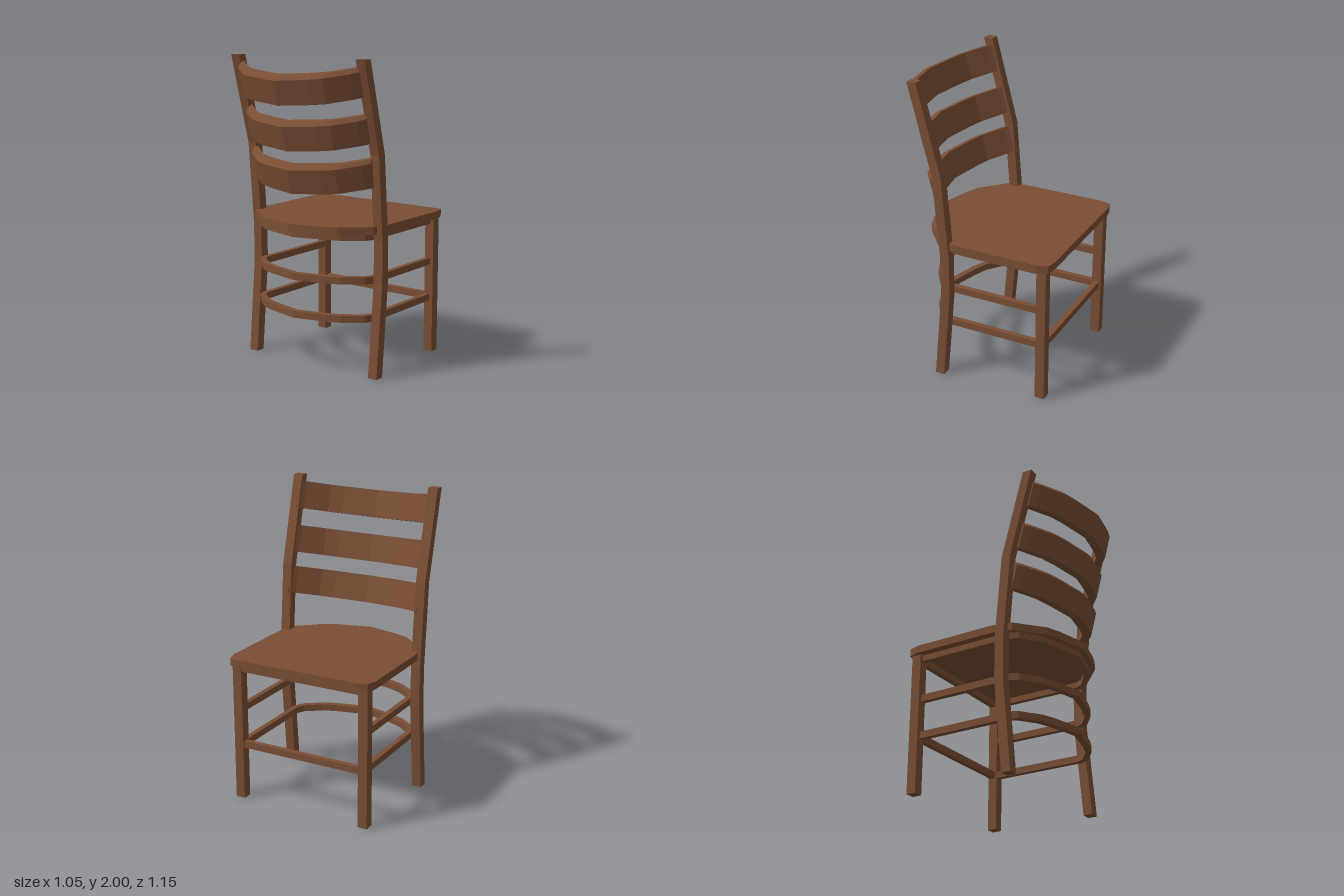
import * as THREE from 'three';

const wood = new THREE.MeshStandardMaterial({ color: 0x7a4e34 });
wood.name = 'brown wood';

// Extrude a plan outline of [x, z] points upward from y0 to y1
function slab(points, y0, y1) {
  const shape = new THREE.Shape(points.map(([x, z]) => new THREE.Vector2(x, -z)));
  const g = new THREE.ExtrudeGeometry(shape, { depth: y1 - y0, bevelEnabled: false });
  return g.rotateX(-Math.PI / 2).translate(0, y0, 0);
}

// Extrude a side outline of [z, y] points across from x0 to x1
function profile(points, x0, x1) {
  const shape = new THREE.Shape(points.map(([z, y]) => new THREE.Vector2(-z, y)));
  const g = new THREE.ExtrudeGeometry(shape, { depth: x1 - x0, bevelEnabled: false });
  return g.rotateY(Math.PI / 2).translate(x0, 0, 0);
}

function box(x, y, z, w, h, d) {
  return new THREE.BoxGeometry(w, h, d).translate(x, y, z);
}

// Complete a right-to-left outline by mirroring its +x half; last point lies on x = 0
function mirrored(half) {
  return [...half, ...half.slice(0, -1).reverse().map(([x, z]) => [-x, z])];
}

// Curved, chamfered back slat leaning with the posts
function slat(z, y) {
  const half = [[0.475, 0.225], [0.44, 0.185], [0.31, 0.083], [0.22, 0.05], [0, 0]];
  const path = mirrored(half).reverse();
  const section = [[-0.04, 0], [0, 0], [0.03, -0.022], [0.03, -0.18], [-0.04, -0.18]];
  const n = section.length, c = Math.cos(0.262), s = Math.sin(0.262);
  const pos = [], idx = [];
  for (const [x, back] of path) {
    for (const [u, v] of section) {
      const w = u - back;
      pos.push(x, y - w * s + v * c, z + w * c + v * s);
    }
  }
  for (let i = 0; i < path.length - 1; i++) {
    for (let j = 0; j < n; j++) {
      const a = i * n + j, b = i * n + (j + 1) % n;
      idx.push(a, b, b + n, a, b + n, a + n);
    }
  }
  const e = (path.length - 1) * n;
  for (let j = 1; j < n - 1; j++) idx.push(0, j + 1, j, e, e + j, e + j + 1);
  const g = new THREE.BufferGeometry();
  g.setAttribute('position', new THREE.Float32BufferAttribute(pos, 3));
  g.setIndex(idx);
  const flat = g.toNonIndexed();
  flat.computeVertexNormals();
  return flat;
}

export function createModel() {
  const group = new THREE.Group();
  const add = (name, geometry) => {
    const mesh = new THREE.Mesh(geometry, wood);
    mesh.name = name;
    group.add(mesh);
  };

  // Seat with clipped front corners and a bowed back edge
  add('seat', slab(mirrored([
    [0, -0.575], [0.43, -0.575], [0.49, -0.56], [0.51, -0.49], [0.51, 0.08],
    [0.48, 0.2], [0.31, 0.35], [0.22, 0.385], [0, 0.44],
  ]).slice(0, -1), 0.92, 0.97));

  // Bent back posts and straight front legs
  const post = [
    [0.16, 0], [0.105, 0.6], [0.105, 0.87], [0.15, 1.42], [0.305, 2],
    [0.367, 2], [0.212, 1.42], [0.167, 0.87], [0.167, 0.6], [0.222, 0],
  ];
  for (const side of [1, -1]) {
    const tag = side > 0 ? 'left' : 'right';
    add(tag + 'BackPost', profile(post, side * 0.4925 - 0.0325, side * 0.4925 + 0.0325));
    add(tag + 'FrontLeg', box(side * 0.452, 0.46, -0.513, 0.064, 0.92, 0.064));
  }

  // U-shaped rails running from the front legs around the back
  const outer = mirrored([[0.46, -0.49], [0.46, 0.16], [0.43, 0.22], [0.31, 0.31], [0.22, 0.345], [0, 0.4]]);
  const inner = mirrored([[0.425, -0.49], [0.425, 0.145], [0.4, 0.195], [0.295, 0.272], [0.21, 0.305], [0, 0.358]]);
  const hoop = [...outer, ...inner.reverse()];
  add('seatApron', slab(hoop, 0.88, 0.92));
  add('upperStretcher', slab(hoop, 0.602, 0.647));
  add('lowerStretcher', slab(hoop, 0.355, 0.4));

  // Front rails
  add('frontApron', box(0, 0.9, -0.515, 0.86, 0.04, 0.04));
  add('frontStretcher', box(0, 0.378, -0.513, 0.86, 0.045, 0.036));

  // Three back slats
  add('lowerSlat', slat(0.428, 1.337));
  add('middleSlat', slat(0.478, 1.61));
  add('upperSlat', slat(0.55, 1.895));

  return group;
}
